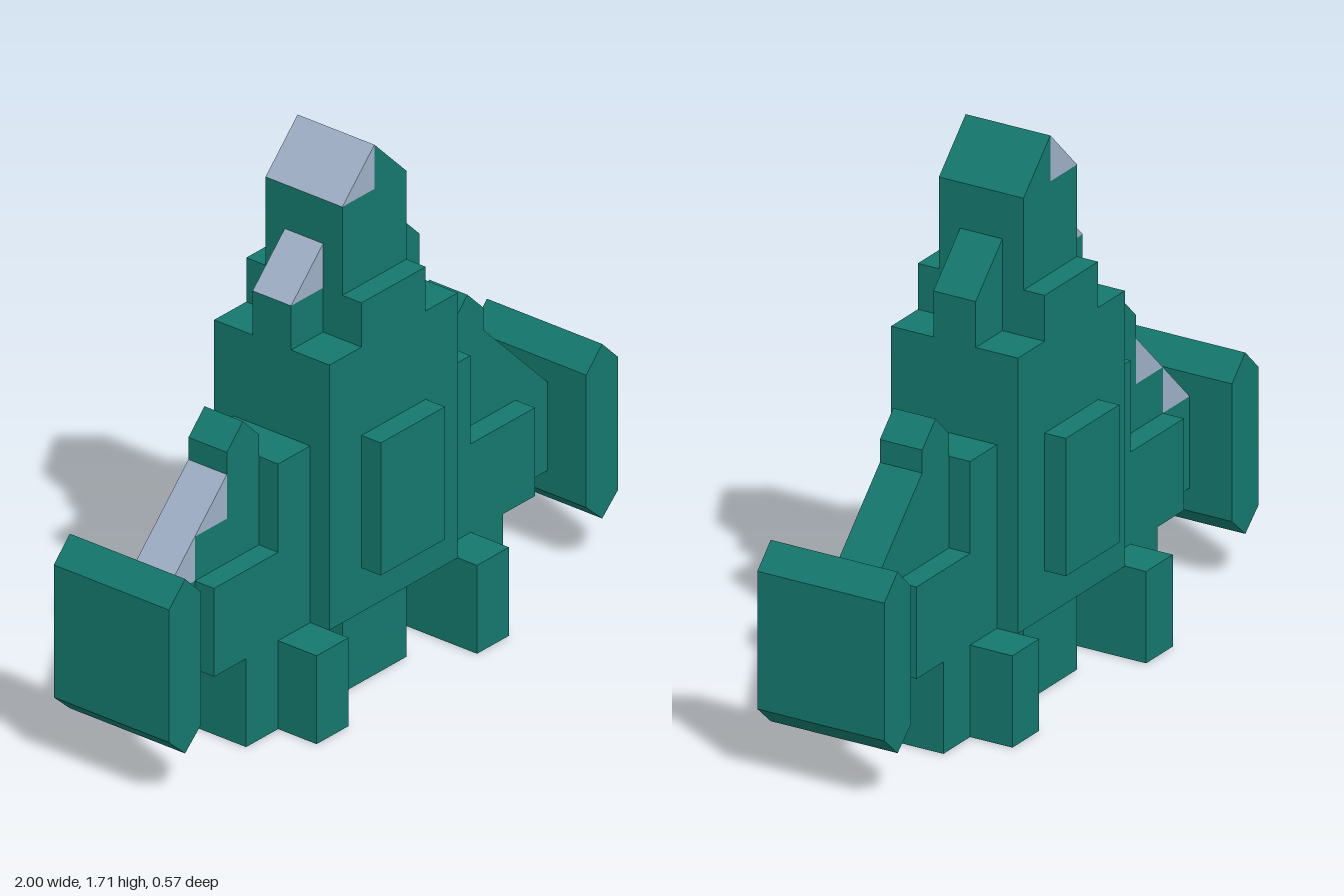
import * as THREE from 'three';

const U = 1 / 7; // grid unit of the blocky design

export function createModel() {
  const model = new THREE.Group();
  model.name = 'spaceship';
  const teal = new THREE.MeshStandardMaterial({ color: 0x14786e, flatShading: true });
  const grey = new THREE.MeshStandardMaterial({ color: 0x9fb0c6, flatShading: true });

  // Front outline in grid units, extruded evenly to +-halfDepth
  function plate(name, points, halfDepth, material = teal) {
    const shape = new THREE.Shape(points.map(([x, y]) => new THREE.Vector2(x * U, y * U)));
    const geometry = new THREE.ExtrudeGeometry(shape, { depth: 2 * halfDepth * U, bevelEnabled: false });
    geometry.translate(0, 0, -halfDepth * U);
    const mesh = new THREE.Mesh(geometry, material);
    mesh.name = name;
    model.add(mesh);
  }

  // Box from x0..x1, y0..y1 and half depth, in grid units
  function block(name, x0, x1, y0, y1, halfDepth) {
    const mesh = new THREE.Mesh(
      new THREE.BoxGeometry(Math.abs(x1 - x0) * U, (y1 - y0) * U, 2 * halfDepth * U), teal);
    mesh.position.set((x0 + x1) / 2 * U, (y0 + y1) / 2 * U, 0);
    mesh.name = name;
    model.add(mesh);
  }

  // Fuselage
  plate('body', [[-2, 2], [2, 2], [2, 8], [1, 8], [1, 9], [-1, 9], [-1, 8], [-2, 8]], 1.5);
  block('hullPanel', -1, 1, 3, 6, 2);
  block('nose', -1, 1, 8, 11, 1);
  block('centreNozzle', -1, 1, 0, 2, 1);

  for (const s of [1, -1]) {
    const side = s > 0 ? 'left' : 'right';
    const slopes = s > 0 ? teal : grey;
    const mirror = pts => pts.map(([x, y]) => [s * x, y]);
    // 45 degree wedge falling outward from x, rising one unit from y
    const wedge = (name, x, y, halfDepth) =>
      plate(side + name, mirror([[x, y], [x + 1, y], [x, y + 1]]), halfDepth, slopes);

    // Nose tip and shoulder
    wedge('NoseTip', 0, 11, 1);
    block(side + 'Shoulder', s, s * 2, 8, 9, 0.5);
    wedge('ShoulderSlope', 1, 9, 0.5);

    // Engine and nozzles
    block(side + 'Engine', s * 2, s * 3, 2, 6, 1);
    block(side + 'InnerNozzle', s * 2, s * 3, 0, 2, 2);
    block(side + 'OuterNozzle', s * 3, s * 4, 0, 2, 1);

    // Wing: thick root, thin stepped core and sloped leading edge
    block(side + 'WingRoot', s * 3, s * 5, 2, 4, 1);
    plate(side + 'Wing', mirror([[3, 2], [6, 2], [6, 4], [5, 4], [5, 5], [4, 5], [4, 6], [3, 6]]), 0.5);
    wedge('WingSlopeInner', 4, 5, 0.5);
    wedge('WingSlopeOuter', 5, 4, 0.5);

    // Pointed fin above the wing and pointed pod at its end
    plate(side + 'WingFin', mirror([[3, 6], [4, 6], [4, 6.5], [3.5, 7], [3, 6.5]]), 0.5);
    plate(side + 'WingPod',
      mirror([[6, 1.5], [6.5, 1.05], [7, 1.5], [7, 4.5], [6.5, 5], [6, 4.5]]), 1.5);
  }
  return model;
}
